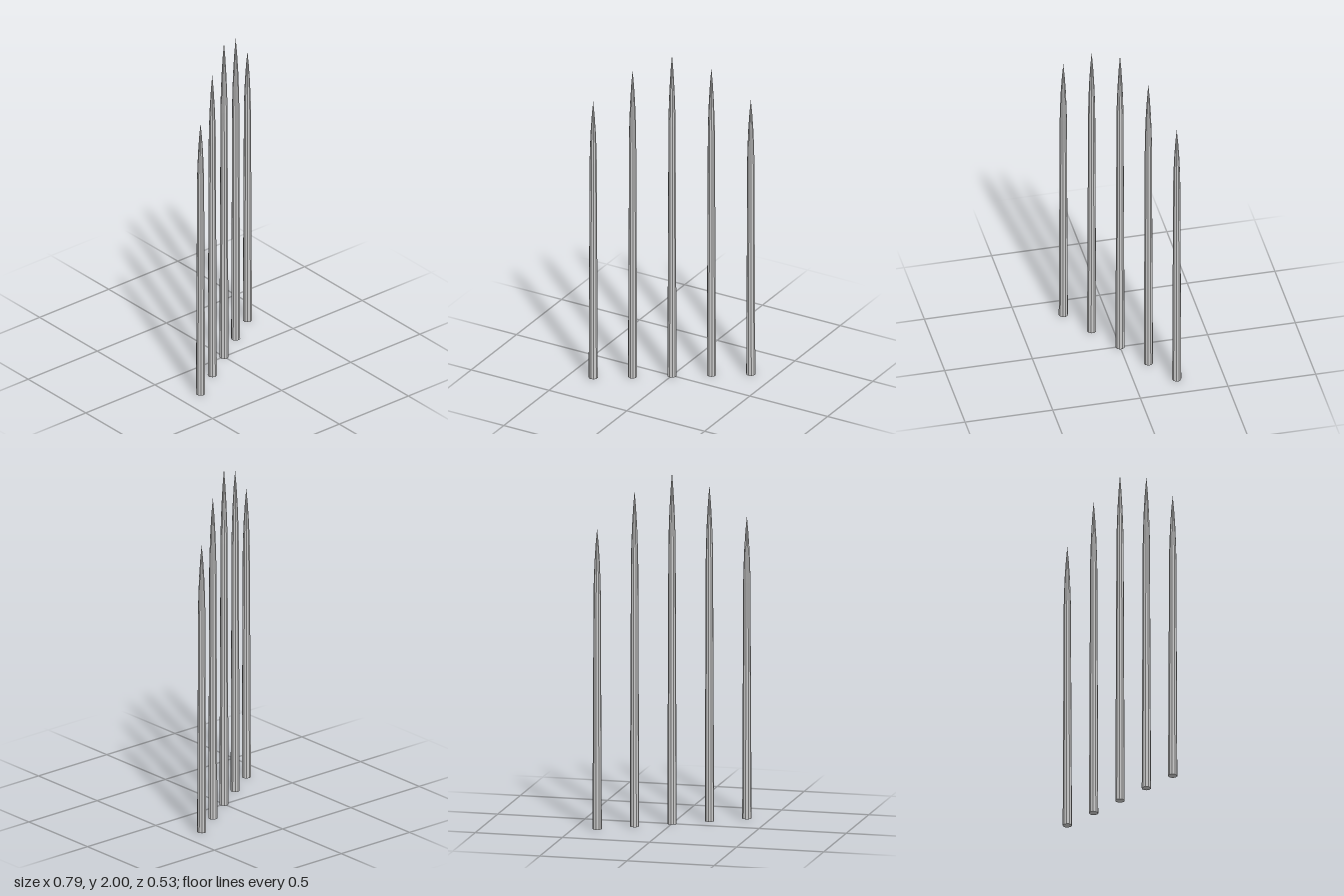
import * as THREE from 'three';

// Radius at each fraction of the height: capped foot, tapering shaft, pointed tip
const PROFILE = [
  [0, 0], [0.026, 0], [0.024, 0.3], [0.0215, 0.6], [0.0205, 0.78],
  [0.0185, 0.83], [0.0145, 0.89], [0.008, 0.95], [0, 1],
];
const HEIGHTS = [1.72, 1.91, 2, 1.91, 1.71];
const STEP_X = 0.184;
const STEP_Z = -0.119;

// One ten-sided spire standing on the ground
function makeSpire(height, material) {
  const points = PROFILE.map(([r, t]) => new THREE.Vector2(r, t * height));
  return new THREE.Mesh(new THREE.LatheGeometry(points, 10), material);
}

export function createModel() {
  const model = new THREE.Group();
  model.name = 'spireRow';
  const material = new THREE.MeshStandardMaterial({ color: 0xcccccc, flatShading: true });

  // Diagonal row, tallest in the middle
  HEIGHTS.forEach((height, i) => {
    const spire = makeSpire(height, material);
    spire.name = `spire${i + 1}`;
    spire.position.set((i - 2) * STEP_X, 0, (i - 2) * STEP_Z);
    model.add(spire);
  });
  return model;
}
